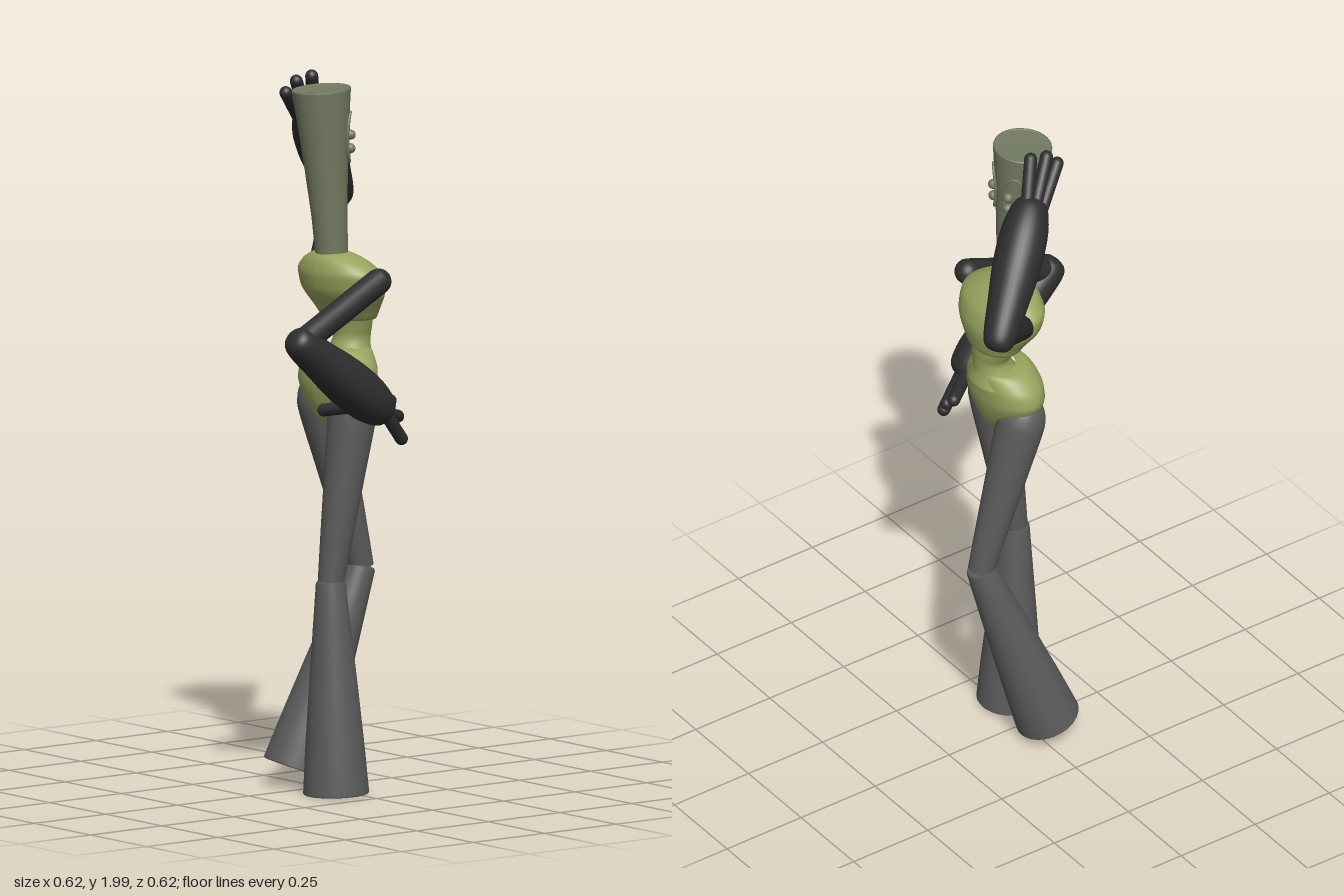
import * as THREE from 'three';

const mat = (color) => new THREE.MeshStandardMaterial({ color, roughness: 0.8 });
const V = (p) => new THREE.Vector3(...p);
const UP = new THREE.Vector3(0, 1, 0);

// Smooth curve through a few profile points [radius, height]
const smooth = (pts, n = 28) =>
  new THREE.SplineCurve(pts.map(([r, h]) => new THREE.Vector2(r, h))).getPoints(n)
    .map((p) => new THREE.Vector2(Math.max(p.x, 0), p.y));

// Turned solid running from a to b; profile is [radius, fraction of length]
function limb(name, a, b, profile, material, curved = false) {
  const from = V(a), axis = V(b).sub(from), len = axis.length();
  const scaled = profile.map(([r, t]) => [r, t * len]);
  const pts = curved ? smooth(scaled) : scaled.map(([r, h]) => new THREE.Vector2(r, h));
  const mesh = new THREE.Mesh(new THREE.LatheGeometry(pts, 32), material);
  mesh.name = name;
  mesh.position.copy(from);
  mesh.quaternion.setFromUnitVectors(UP, axis.normalize());
  return mesh;
}

// Round-ended bar between two points
function capsule(name, a, b, r, material) {
  const from = V(a), axis = V(b).sub(from);
  const mesh = new THREE.Mesh(new THREE.CapsuleGeometry(r, axis.length(), 8, 20), material);
  mesh.name = name;
  mesh.position.copy(from).addScaledVector(axis, 0.5);
  mesh.quaternion.setFromUnitVectors(UP, axis.normalize());
  return mesh;
}

// Skin over horizontal ellipses [y, centreX, centreZ, radiusX, radiusZ], listed bottom to top
function loft(name, sections, material, steps = 24, sides = 40) {
  const centres = new THREE.CatmullRomCurve3(sections.map((s) => V([s[1], s[0], s[2]])));
  const radii = new THREE.CatmullRomCurve3(sections.map((s) => V([s[3], 0, s[4]])));
  const pos = [], idx = [];
  const row = sides + 1;
  for (let i = 0; i <= steps; i++) {
    const c = centres.getPoint(i / steps), r = radii.getPoint(i / steps);
    for (let j = 0; j <= sides; j++) {
      const t = (j % sides) / sides * Math.PI * 2;
      pos.push(c.x + Math.max(r.x, 0.001) * Math.sin(t), c.y, c.z + Math.max(r.z, 0.001) * Math.cos(t));
      if (i < steps && j < sides) {
        const k = i * row + j;
        idx.push(k, k + 1, k + row, k + 1, k + row + 1, k + row);
      }
    }
  }
  const geo = new THREE.BufferGeometry();
  geo.setAttribute('position', new THREE.Float32BufferAttribute(pos, 3));
  geo.setIndex(idx);
  geo.computeVertexNormals();
  const mesh = new THREE.Mesh(geo, material);
  mesh.name = name;
  return mesh;
}

export function createModel() {
  const model = new THREE.Group();
  model.name = 'posedFigure';
  const olive = mat(0x98a45e), headMat = mat(0x747b63), dark = mat(0x2e2e2e), grey = mat(0x5c5c5c);

  // Torso: pelvis, waist and chest
  model.add(
    loft('pelvis', [
      [0.99, 0.05, -0.025, 0.005, 0.005], [1.01, 0.05, -0.025, 0.03, 0.04],
      [1.07, 0.05, -0.025, 0.09, 0.075], [1.14, 0.045, -0.027, 0.137, 0.09],
      [1.18, 0.045, -0.03, 0.13, 0.089], [1.228, 0.047, -0.042, 0.085, 0.075],
      [1.235, 0.047, -0.05, 0.05, 0.045],
    ], olive),
    loft('waist', [
      [1.19, 0.047, -0.055, 0.09, 0.075], [1.23, 0.05, -0.064, 0.062, 0.056],
      [1.26, 0.052, -0.07, 0.055, 0.05], [1.29, 0.05, -0.07, 0.065, 0.051],
      [1.33, 0.048, -0.066, 0.08, 0.055],
    ], olive),
    loft('chest', [
      [1.31, 0.047, -0.065, 0.03, 0.03], [1.312, 0.046, -0.065, 0.086, 0.063],
      [1.34, 0.046, -0.06, 0.105, 0.078], [1.4, 0.045, -0.045, 0.143, 0.098],
      [1.44, 0.045, -0.035, 0.148, 0.094], [1.475, 0.044, -0.022, 0.115, 0.074],
      [1.498, 0.043, -0.01, 0.06, 0.045], [1.503, 0.043, -0.008, 0.002, 0.002],
    ], olive, 32),
  );

  // Tall flared head with a shallow dished top
  const headLow = [0.042, 1.49, -0.008], headHigh = [0.03, 1.955, 0.02];
  model.add(limb('head', headLow, headHigh, [
    [0.045, 0], [0.05, 0.25], [0.06, 0.52], [0.071, 0.78], [0.082, 0.99],
    [0.081, 1], [0.077, 1], [0.075, 0.992], [0, 0.992],
  ], headMat));

  // Point on the back of the head at a yaw angle (0 = -z, positive toward +x) and height
  const onHead = (yaw, y, lift = 0) => {
    const t = (y - 1.49) / 0.465;
    const c = V(headLow).lerp(V(headHigh), t);
    const r = 0.043 + 0.039 * t + lift;
    return c.add(V([Math.sin(yaw) * r, 0, -Math.cos(yaw) * r]));
  };

  // Oval rings and round knobs on the face
  const face = new THREE.Group();
  face.name = 'face';
  for (const s of [1, -1]) {
    const ring = [];
    for (let i = 0; i < 24; i++) {
      const a = i / 24 * Math.PI * 2;
      ring.push(onHead(s * 0.7 + 0.42 * Math.cos(a), 1.82 + 0.07 * Math.sin(a)));
    }
    const oval = new THREE.Mesh(
      new THREE.TubeGeometry(new THREE.CatmullRomCurve3(ring, true), 48, 0.004, 8, true), headMat);
    oval.name = 'faceRing';
    face.add(oval);
    for (const y of [1.825, 1.787]) {
      const knob = new THREE.Mesh(new THREE.SphereGeometry(0.014, 16, 12), headMat);
      knob.name = 'faceKnob';
      knob.position.copy(onHead(s * 0.55 + 0.05, y, 0.002));
      face.add(knob);
    }
  }
  model.add(face);

  // Legs: rounded thigh and bell-shaped lower leg with a closed sole
  const legs = [
    { side: 'left', hip: [0.135, 1.145, -0.02], knee: [0.113, 0.59, 0.052], foot: [0.122, 0.003, 0.04] },
    { side: 'right', hip: [-0.035, 1.145, -0.01], knee: [-0.01, 0.6, -0.15], foot: [-0.068, 0.05, 0.035] },
  ];
  for (const { side, hip, knee, foot } of legs) {
    model.add(
      limb(side + 'Thigh', knee, hip, [
        [0.036, 0], [0.044, 0.2], [0.057, 0.55], [0.067, 0.82],
        [0.064, 0.9], [0.048, 0.965], [0.025, 0.993], [0, 1],
      ], grey, true),
      limb(side + 'LowerLeg', foot, knee, [
        [0, 0], [0.089, 0], [0.091, 0.006], [0.083, 0.2], [0.069, 0.48],
        [0.053, 0.78], [0.041, 1], [0.036, 1.01], [0, 1.01],
      ], grey),
    );
  }

  // Arms: slim upper arm, swollen forearm, tapering fingers
  const arms = [
    {
      side: 'left', shoulder: [0.215, 1.435, -0.035], elbow: [0.247, 1.295, 0.262], wrist: [0.24, 1.065, -0.045],
      fingers: [
        [[0.225, 1.08, -0.03], [0.14, 1.083, -0.135]],
        [[0.235, 1.07, -0.04], [0.18, 1.045, -0.13]],
        [[0.24, 1.07, -0.04], [0.222, 0.99, -0.11]],
        [[0.22, 1.095, 0.035], [0.115, 1.075, 0.077]],
      ],
    },
    {
      side: 'right', shoulder: [-0.07, 1.425, -0.055], elbow: [-0.268, 1.6, -0.27], wrist: [-0.095, 1.875, -0.035],
      fingers: [
        [[-0.115, 1.86, -0.07], [-0.057, 1.975, -0.015]],
        [[-0.12, 1.86, -0.045], [-0.062, 1.965, 0.035]],
        [[-0.12, 1.85, -0.02], [-0.07, 1.935, 0.065]],
        [[-0.1, 1.84, -0.06], [-0.055, 1.865, -0.015]],
      ],
    },
  ];
  for (const { side, shoulder, elbow, wrist, fingers } of arms) {
    const arm = new THREE.Group();
    arm.name = side + 'Arm';
    arm.add(
      capsule('upperArm', shoulder, elbow, 0.036, dark),
      limb('forearm', elbow, wrist, [
        [0, -0.1], [0.03, -0.08], [0.046, 0], [0.057, 0.25], [0.067, 0.5],
        [0.066, 0.75], [0.05, 0.93], [0.028, 0.99], [0, 1],
      ], dark, true),
    );
    for (const [a, b] of fingers) arm.add(capsule('finger', a, b, 0.018, dark));
    model.add(arm);
  }
  return model;
}
